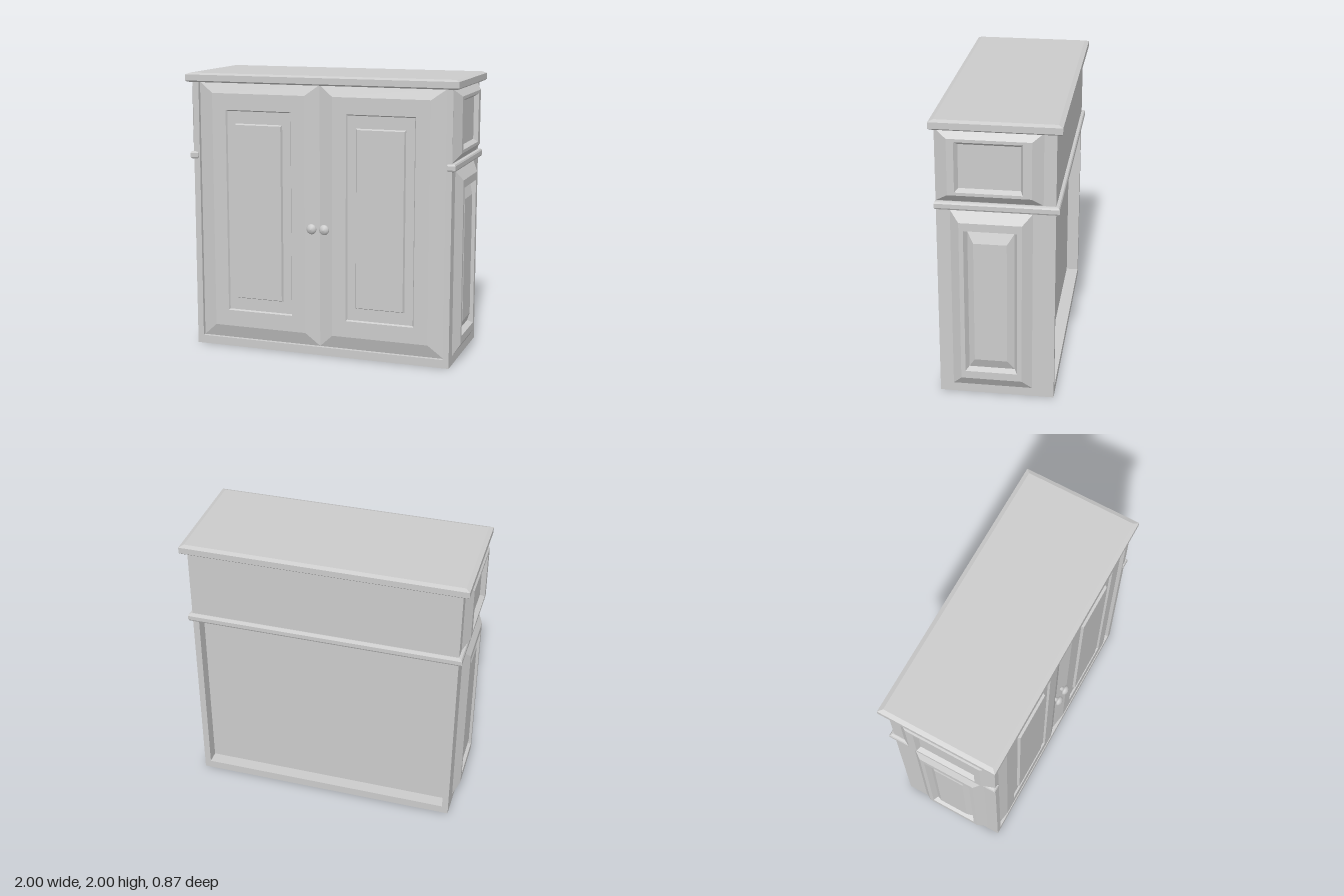
import * as THREE from 'three';

const material = new THREE.MeshStandardMaterial({ color: 0xcccccc, flatShading: true });
const smooth = new THREE.MeshStandardMaterial({ color: 0xcccccc });

// Rectangular rings [u0, u1, v0, v1, depth] joined by sloped bands and capped at the last ring
function stepped(rings, closeStart = false) {
  const p = [];
  const corners = ([a, b, c, d, z]) => [[a, c, z], [b, c, z], [b, d, z], [a, d, z]];
  const quad = (a, b, c, d) => p.push(...a, ...b, ...c, ...a, ...c, ...d);
  const loops = rings.map(corners);
  for (let i = 0; i + 1 < loops.length; i++) {
    for (let k = 0; k < 4; k++) {
      const n = (k + 1) % 4;
      quad(loops[i][k], loops[i][n], loops[i + 1][n], loops[i + 1][k]);
    }
  }
  quad(...loops[loops.length - 1]);
  if (closeStart) quad(...loops[0].slice().reverse());
  const g = new THREE.BufferGeometry();
  g.setAttribute('position', new THREE.Float32BufferAttribute(p, 3));
  g.computeVertexNormals();
  return g;
}

// Ring running inward from a rectangle by a uniform inset
const inset = ([a, b, c, d], i, z) => [a + i, b - i, c + i, d - i, z];

export function createModel() {
  const model = new THREE.Group();
  model.name = 'cabinet';

  const add = (name, geometry, mat = material) => {
    const mesh = new THREE.Mesh(geometry, mat);
    mesh.name = name;
    model.add(mesh);
    return mesh;
  };
  const box = (name, x0, x1, y0, y1, z0, z1) =>
    add(name, new THREE.BoxGeometry(x1 - x0, y1 - y0, z1 - z0))
      .position.set((x0 + x1) / 2, (y0 + y1) / 2, (z0 + z1) / 2);

  // Carcass: side boards, bottom board, core and upper back
  box('leftBoard', 0.91, 0.955, 0, 1.94, -0.395, 0.395);
  box('rightBoard', -0.955, -0.91, 0, 1.94, -0.395, 0.395);
  box('bottomBoard', -0.91, 0.91, 0, 0.06, -0.395, 0.395);
  box('core', -0.91, 0.91, 0.06, 1.94, -0.305, 0.368);
  box('upperBack', -0.91, 0.91, 1.4, 1.94, -0.395, -0.305);

  // Top slab with bevelled rim
  const slab = [-1, 1, -0.425, 0.435];
  add('topSlab', stepped([
    inset(slab, 0.012, 1.935), inset(slab, 0, 1.945), inset(slab, 0, 1.988), inset(slab, 0.03, 2),
  ], true).rotateX(-Math.PI / 2));

  // Rounded moulding around the sides and back
  const u = new THREE.Shape([
    [-0.96, -0.385], [-0.94, -0.385], [-0.94, 0.32], [0.94, 0.32],
    [0.94, -0.385], [0.96, -0.385], [0.96, 0.4], [-0.96, 0.4],
  ].map(([x, y]) => new THREE.Vector2(x, y)));
  const moulding = new THREE.ExtrudeGeometry(u, {
    depth: 0.029, bevelEnabled: true, bevelThickness: 0.015, bevelSize: 0.02, bevelSegments: 2,
  });
  add('moulding', moulding.rotateX(-Math.PI / 2).translate(0, 1.393, 0));

  // Doors with a recessed field, raised panel and round knob
  const knobProfile = [[0, 0.045], [0.02, 0.041], [0.033, 0.03], [0.037, 0.02], [0.032, 0.01], [0.018, 0.004], [0.015, -0.02]]
    .reverse().map(([r, y]) => new THREE.Vector2(r, y));
  for (const s of [1, -1]) {
    const side = s > 0 ? 'left' : 'right';
    const span = (a, b, ...rest) => (s > 0 ? [a, b, ...rest] : [-b, -a, ...rest]);
    const field = span(0.203, 0.7, 0.273, 1.743);
    const panel = span(0.273, 0.63, 0.369, 1.647);
    add(side + 'Door', stepped([
      span(0, 0.91, 0.06, 1.937, 0.368),
      span(0.102, 0.803, 0.155, 1.86, 0.4),
      inset(field, 0, 0.4), inset(field, 0.008, 0.386),
      inset(panel, 0, 0.386), inset(panel, 0.008, 0.404),
    ]));
    add(side + 'Knob', new THREE.LatheGeometry(knobProfile, 24).rotateX(Math.PI / 2), smooth)
      .position.set(s * 0.047, 0.925, 0.394);
  }

  // Side panels: u runs front to back on the left side, mirrored on the right
  const lower = [
    [-0.305, 0.247, 0.06, 1.378, 0.953],
    [-0.24, 0.178, 0.135, 1.303, 1],
    [-0.21, 0.146, 0.19, 1.247, 1],
    [-0.188, 0.125, 0.21, 1.23, 0.962],
    [-0.146, 0.077, 0.281, 1.156, 0.99],
  ];
  const upper = [
    [-0.395, 0.316, 1.437, 1.937, 0.953],
    [-0.31, 0.242, 1.496, 1.883, 1],
    [-0.263, 0.183, 1.517, 1.862, 1],
    [-0.241, 0.167, 1.538, 1.84, 0.968],
  ];
  for (const s of [1, -1]) {
    const side = s > 0 ? 'left' : 'right';
    const flip = rings => (s > 0 ? rings : rings.map(([a, b, ...rest]) => [-b, -a, ...rest]));
    add(side + 'LowerPanel', stepped(flip(lower)).rotateY(s * Math.PI / 2));
    add(side + 'UpperPanel', stepped(flip(upper)).rotateY(s * Math.PI / 2));
  }
  return model;
}
